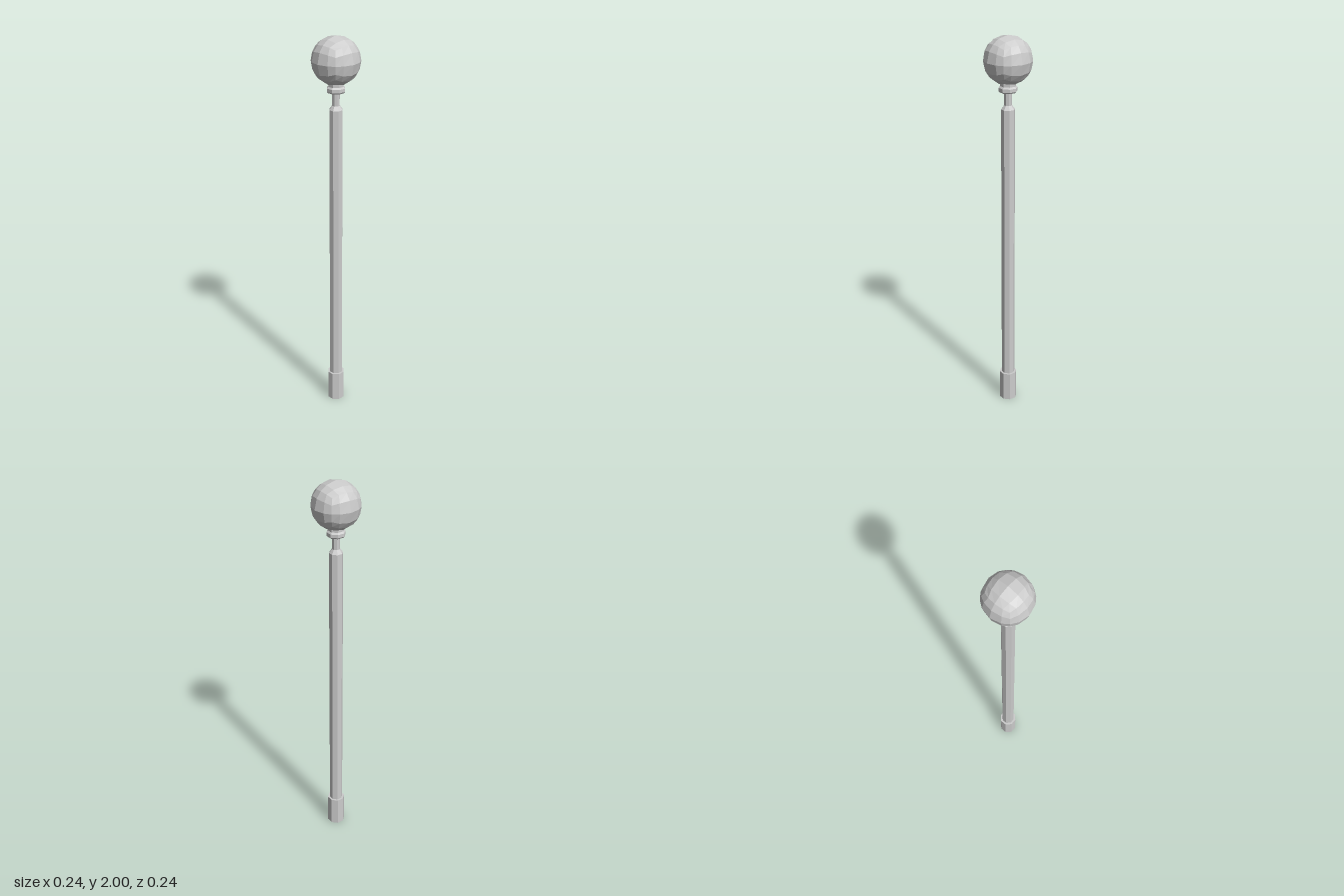
import * as THREE from 'three';

const material = new THREE.MeshStandardMaterial({ color: 0xcccccc, flatShading: true });

// Eight-sided turned part with flats facing the axes; profile is [half width, height] from bottom to top
function octagonal(name, profile) {
  const points = profile.map(([w, y]) => new THREE.Vector2(w / Math.cos(Math.PI / 8), y));
  const mesh = new THREE.Mesh(new THREE.LatheGeometry(points, 8, Math.PI / 8), material);
  mesh.name = name;
  return mesh;
}

// Ball made from a subdivided cube pushed out to a sphere
function cubeSphere(name, radius, segments) {
  const geometry = new THREE.BoxGeometry(2, 2, 2, segments, segments, segments);
  const pos = geometry.attributes.position;
  const v = new THREE.Vector3();
  for (let i = 0; i < pos.count; i++) {
    v.fromBufferAttribute(pos, i).setLength(radius);
    pos.setXYZ(i, v.x, v.y, v.z);
  }
  geometry.computeVertexNormals();
  const mesh = new THREE.Mesh(geometry, material);
  mesh.name = name;
  return mesh;
}

export function createModel() {
  const group = new THREE.Group();
  group.name = 'ballLampPost';

  // Foot sleeve
  group.add(octagonal('base', [[0, 0], [0.042, 0], [0.042, 0.16], [0, 0.16]]));
  // Long shaft with a chamfered top
  group.add(octagonal('shaft', [[0.032, 0.15], [0.032, 1.64], [0.018, 1.66], [0, 1.66]]));
  // Thin neck
  group.add(octagonal('neck', [[0.018, 1.655], [0.018, 1.735]]));
  // Collar holding the ball, with a wider lower rim
  group.add(octagonal('collar', [
    [0, 1.725], [0.038, 1.725], [0.043, 1.732], [0.043, 1.748], [0.036, 1.756], [0.036, 1.775], [0, 1.775],
  ]));
  // Ball globe
  const globe = cubeSphere('globe', 0.12, 4);
  globe.position.y = 1.88;
  group.add(globe);

  return group;
}
